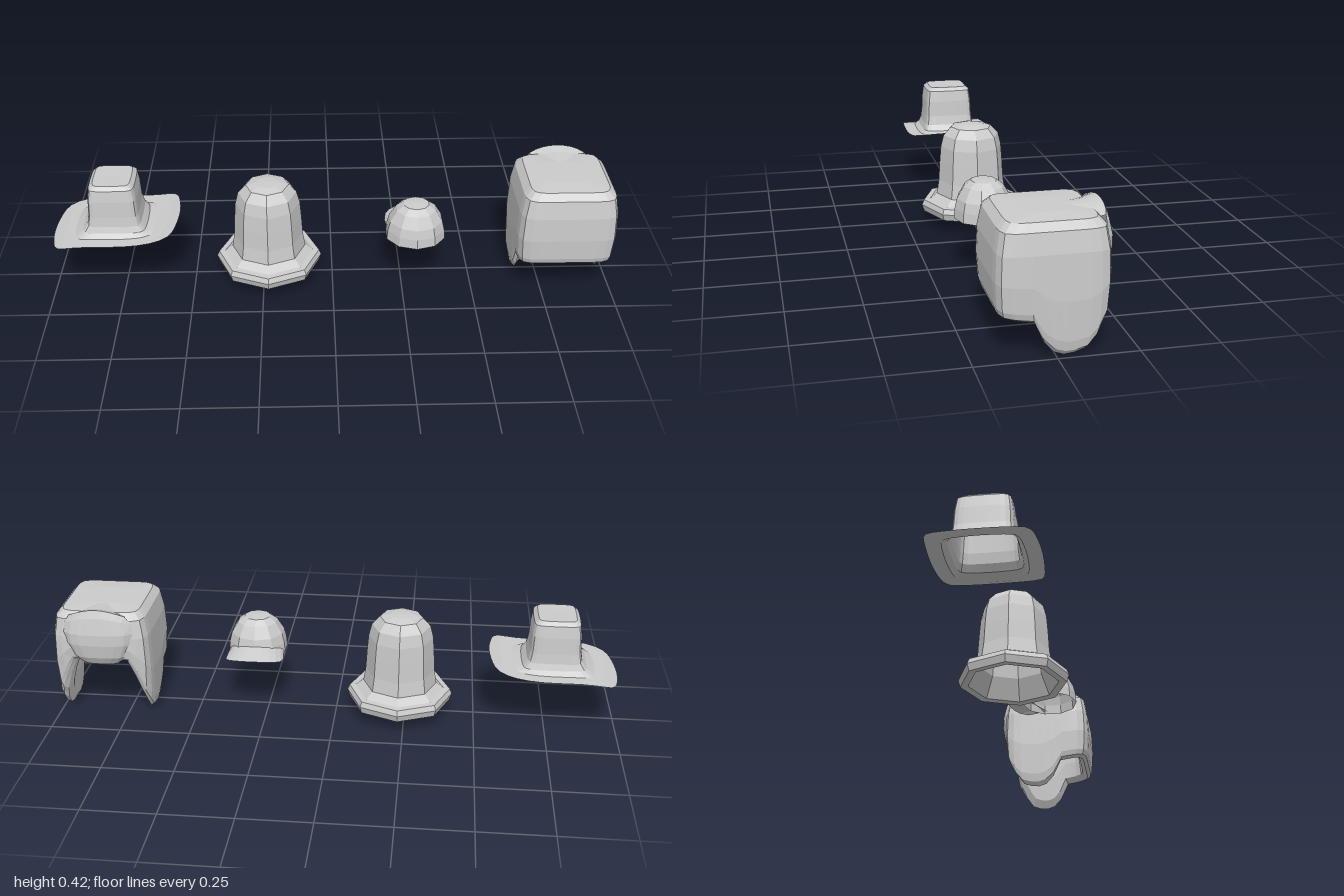
import * as THREE from 'three';

const material = new THREE.MeshStandardMaterial({ color: 0xcccccc, flatShading: true, side: THREE.DoubleSide });
const lerp = THREE.MathUtils.lerp;

// Skin a list of equally long point rows, listed from the top of the outside downwards.
function loft(name, rows, closed = true) {
  const n = rows[0].length, index = [];
  for (let j = 0; j < rows.length - 1; j++) {
    for (let i = 0; i < (closed ? n : n - 1); i++) {
      const k = (i + 1) % n, a = j * n + i, b = j * n + k, c = a + n, d = b + n;
      index.push(a, b, c, b, d, c);
    }
  }
  const geometry = new THREE.BufferGeometry();
  geometry.setAttribute('position', new THREE.Float32BufferAttribute(rows.flat(2), 3));
  geometry.setIndex(index);
  geometry.computeVertexNormals();
  const mesh = new THREE.Mesh(geometry, material);
  mesh.name = name;
  return mesh;
}

// Unit rounded square as [x, z] pairs; round = 1 gives a circle.
function ring(round = 0) {
  const quarter = [[1, 0], [1, 0.2], [1, 0.4], [1, 0.6], [0.985, 0.77], [0.92, 0.92], [0.77, 0.985], [0.6, 1], [0.4, 1], [0.2, 1]];
  const points = [];
  for (let q = 0; q < 4; q++) {
    for (let [x, z] of quarter) {
      for (let r = 0; r < q; r++) [x, z] = [-z, x];
      const s = lerp(1, 1 / Math.hypot(x, z), round);
      points.push([x * s, z * s]);
    }
  }
  return points;
}

// Wide-brimmed hat: squarish crown flaring into a brim that sweeps down on one side and up on the other.
function wideBrimHat() {
  const brimY = x => 0.229 + 0.036 * Math.pow(x / 0.227, 3);
  const profile = [ // half width, half depth, height, roundness
    [0, 0, 0.413, 0], [0.066, 0.073, 0.415, 0.1], [0.08, 0.087, 0.402, 0.1], [0.086, 0.093, 0.36, 0.1],
    [0.089, 0.096, 0.3, 0.1], [0.096, 0.1, 0.265, 0.1], [0.113, 0.108, 0.243, 0.15],
    [0.145, 0.125, null, 0.25], [0.185, 0.148, null, 0.3], [0.227, 0.173, null, 0.35],
  ];
  const hat = loft('wideBrimHat', profile.map(([hx, hz, y, round]) =>
    ring(round).map(([x, z]) => [x * hx, y ?? brimY(x * hx), z * hz])));
  hat.position.set(-0.77, 0, -0.005);
  return hat;
}

// Eight-sided bell hat with a thick rolled rim, hollow underneath.
function bellHat() {
  const profile = [
    [0, 0.355], [0.07, 0.34], [0.103, 0.29], [0.112, 0.2], [0.12, 0.125], [0.155, 0.052],
    [0.182, 0.05], [0.19, 0.075], [0.182, 0.094], [0.16, 0.096], [0.132, 0.118], [0.124, 0.17],
    [0.12, 0.24], [0.115, 0.3], [0.104, 0.343], [0.076, 0.374], [0.04, 0.383], [0, 0.385],
  ].map(([r, y]) => new THREE.Vector2(r, y));
  const hat = new THREE.Mesh(new THREE.LatheGeometry(profile, 8), material);
  hat.name = 'bellHat';
  hat.position.x = -0.23;
  return hat;
}

// Small cap: faceted dome and an arched visor pointing to the back.
function visorCap() {
  const cap = new THREE.Group();
  cap.name = 'visorCap';
  const dome = [[0, 0.331], [0.045, 0.328], [0.07, 0.309], [0.094, 0.268], [0.102, 0.235], [0.105, 0.2]];
  cap.add(loft('capDome', dome.map(([r, y]) => Array.from({ length: 10 }, (_, i) => {
    const a = (i + 0.5) / 10 * Math.PI * 2;
    return [r * 1.03 * Math.cos(a), y, 0.065 + r * 0.97 * Math.sin(a)];
  }))));
  const rows = [0, 0.5, 1].map(t => Array.from({ length: 11 }, (_, i) => {
    const u = i / 5 - 1, a = u * 1.35, b = u * Math.PI / 2;
    const inner = [0.1 * Math.sin(a), 0.2 + 0.045 * Math.cos(a), 0.067 - 0.098 * Math.cos(a)];
    const outer = [0.104 * Math.sin(b), 0.2 + 0.022 * Math.cos(b), -0.03 - 0.075 * Math.pow(Math.max(0, Math.cos(b)), 0.7)];
    return inner.map((v, k) => lerp(v, outer[k], t));
  }).reverse());
  cap.add(loft('capVisor', rows, false));
  cap.position.x = 0.295;
  return cap;
}

// Thick boxy winter hat: hollow, with hanging ear flaps and a face opening at the back.
function earFlapHat() {
  const hat = new THREE.Group();
  hat.name = 'earFlapHat';
  // Height of the lower edge against depth: nape, ear flaps, face opening.
  const hem = [[1, 0.125], [0.4, 0.11], [0.2, 0.045], [0, 0.012], [-0.2, 0.002], [-0.4, 0.005],
    [-0.6, 0.015], [-0.77, 0.05], [-0.92, 0.1], [-0.985, 0.17], [-1, 0.23]];
  const hemY = z => {
    const i = Math.max(1, hem.findIndex(h => h[0] <= z + 1e-6));
    const [z0, y0] = hem[i - 1], [z1, y1] = hem[i];
    return lerp(y0, y1, (z - z0) / (z1 - z0));
  };
  // scale, height, share of the way from that height to the hem
  const profile = [
    [0, 0.413, 0], [0.4, 0.413, 0], [0.8, 0.408, 0], [0.93, 0.385, 0], [0.995, 0.32, 0], [1.015, 0.32, 0.45],
    [0.985, 0.32, 0.85], [0.95, 0.32, 0.95], [0.87, 0.32, 1], [0.76, 0.32, 0.9], [0.72, 0.32, 0.6],
    [0.7, 0.32, 0.1], [0.55, 0.36, 0], [0, 0.375, 0],
  ];
  const outline = ring();
  hat.add(loft('shell', profile.map(([s, y, t]) =>
    outline.map(([x, z]) => [x * s * 0.172, lerp(y, hemY(z), t), 0.005 + z * s * 0.171]))));

  // Turned-up forehead flap: height, depth, half width
  const flap = [[0.41, -0.03, 0.08], [0.418, -0.13, 0.09], [0.427, -0.165, 0.1], [0.4, -0.176, 0.118],
    [0.34, -0.189, 0.13], [0.3, -0.19, 0.125], [0.25, -0.182, 0.1], [0.22, -0.166, 0.06]];
  const rows = flap.map(([y, z, half]) => Array.from({ length: 9 }, (_, i) => {
    const u = 1 - i / 4, edge = u ** 4;
    return [half * u, y - (y > 0.39 ? 0.025 * u * u : 0), lerp(z, Math.max(z, -0.155), edge)];
  }));
  hat.add(loft('foreheadFlap', rows, false));
  hat.position.x = 0.825;
  return hat;
}

export function createModel() {
  const model = new THREE.Group();
  model.name = 'hatCollection';
  model.add(wideBrimHat(), bellHat(), visorCap(), earFlapHat());
  return model;
}
